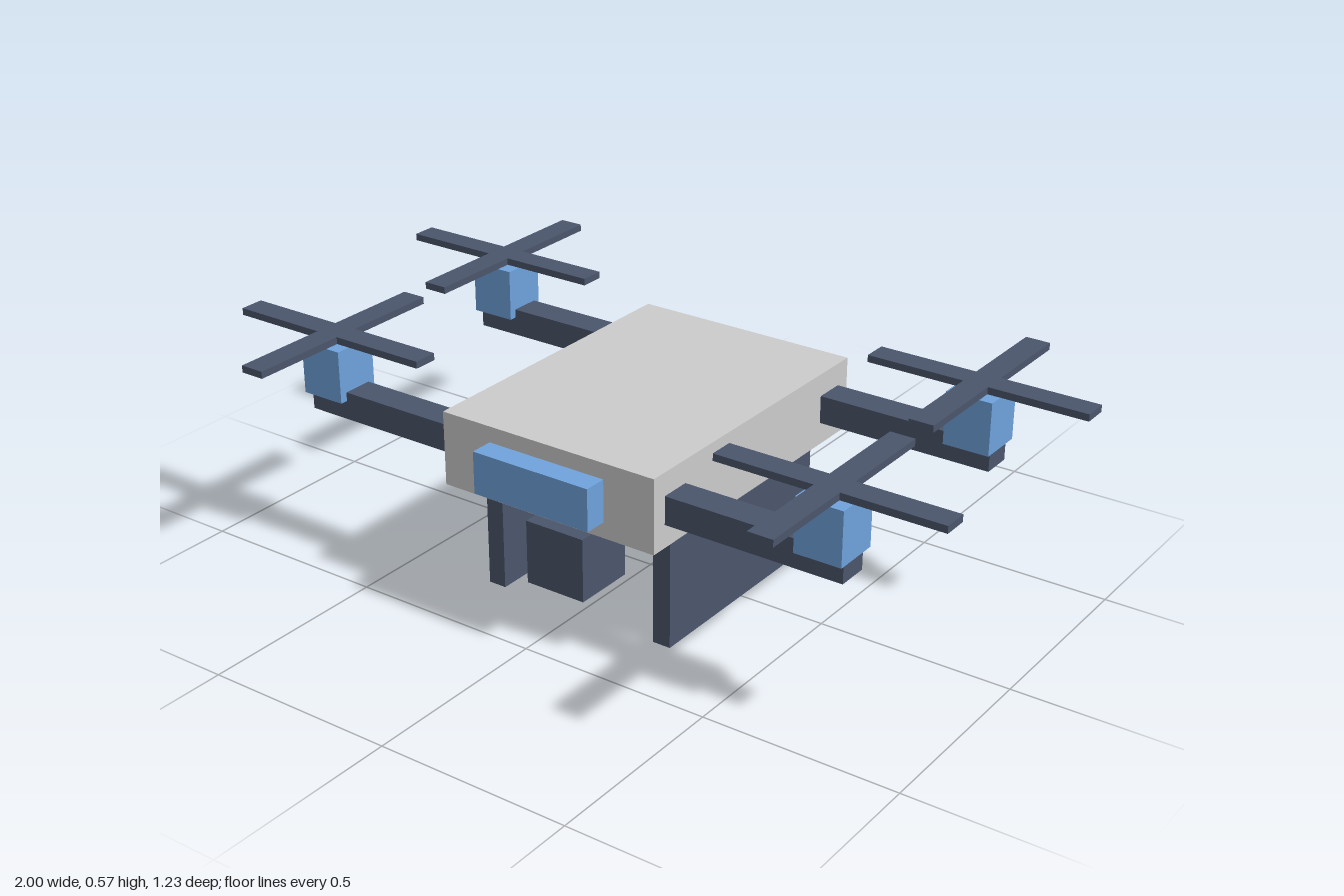
import * as THREE from 'three';

const grey = new THREE.MeshStandardMaterial({ color: 0xcccccc });
const dark = new THREE.MeshStandardMaterial({ color: 0x4a566b });
const blue = new THREE.MeshStandardMaterial({ color: 0x6fa3dc });

// Box of size [w, h, d] centred at [x, y, z]
function box(name, material, size, position) {
  const mesh = new THREE.Mesh(new THREE.BoxGeometry(...size), material);
  mesh.name = name;
  mesh.position.set(...position);
  return mesh;
}

// Arm, motor and crossed propeller for one corner
function createRotor(sx, sz) {
  const rotor = new THREE.Group();
  rotor.name = (sz > 0 ? 'front' : 'back') + (sx > 0 ? 'Left' : 'Right') + 'Rotor';
  const x = 0.712 * sx, z = 0.329 * sz;
  rotor.add(
    box('arm', dark, [0.485, 0.072, 0.08], [0.523 * sx, 0.4, z]),
    box('motor', blue, [0.12, 0.136, 0.12], [x, 0.481, z]),
    box('bladeAcross', dark, [0.576, 0.018, 0.064], [x, 0.564, z]),
    box('bladeAlong', dark, [0.064, 0.018, 0.576], [x, 0.564, z])
  );
  return rotor;
}

export function createModel() {
  const drone = new THREE.Group();
  drone.name = 'drone';

  // Hull, front sensor and hanging camera
  drone.add(
    box('body', grey, [0.606, 0.19, 0.822], [0, 0.4, 0]),
    box('frontSensor', blue, [0.328, 0.108, 0.082], [0, 0.4, 0.43]),
    box('camera', dark, [0.165, 0.165, 0.165], [0, 0.181, 0.303])
  );

  // Landing skids and rotors, mirrored
  for (const sx of [1, -1]) {
    drone.add(box(sx > 0 ? 'leftSkid' : 'rightSkid', dark, [0.048, 0.306, 0.604], [0.247 * sx, 0.153, 0]));
    for (const sz of [1, -1]) drone.add(createRotor(sx, sz));
  }
  return drone;
}
